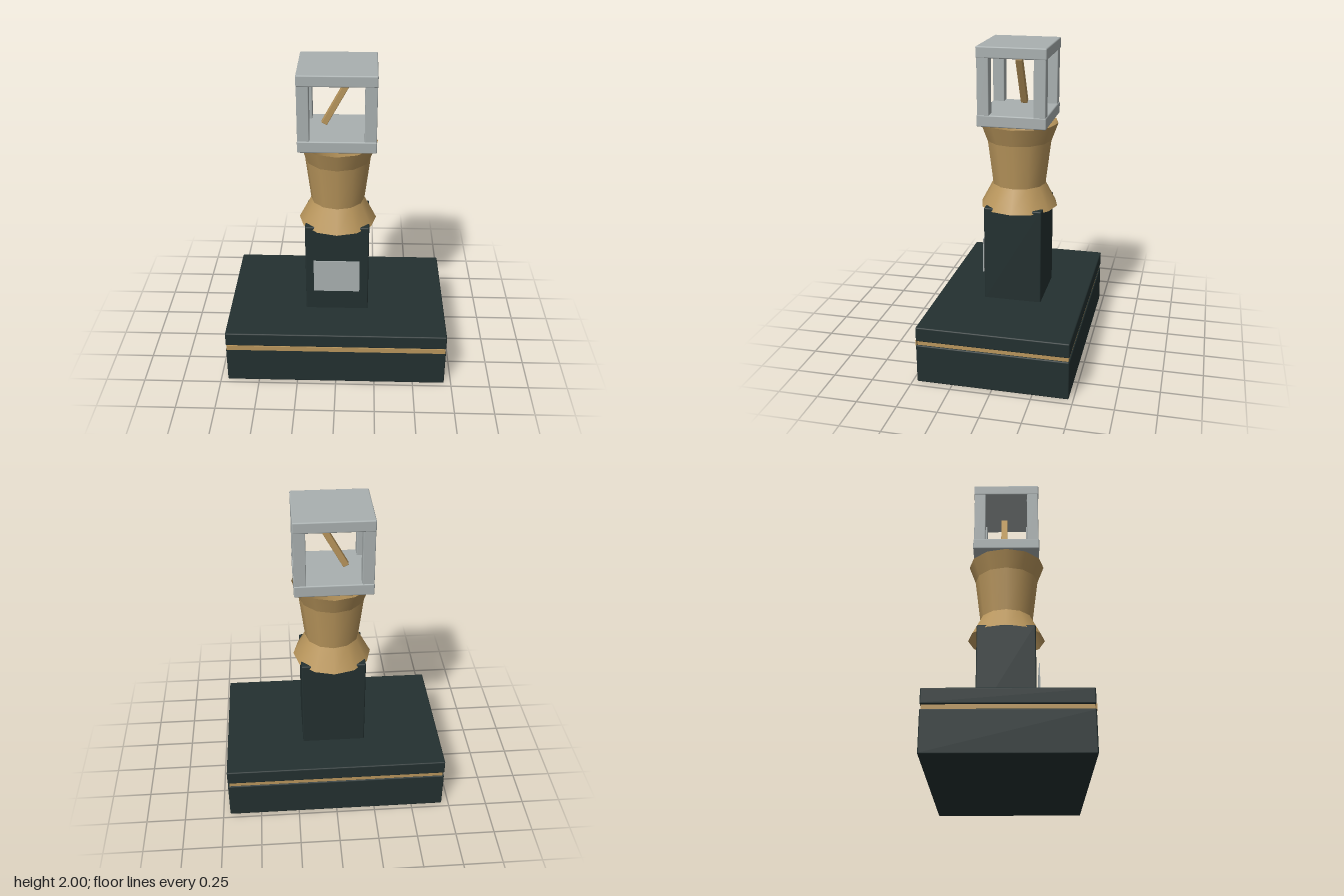
import * as THREE from 'three';
import { RoundedBoxGeometry } from 'three/addons/geometries/RoundedBoxGeometry.js';

export function createModel() {
  const model = new THREE.Group();
  model.name = 'trophy';

  const material = (name, color, side = THREE.FrontSide) => {
    const m = new THREE.MeshStandardMaterial({ color, side });
    m.name = name;
    return m;
  };
  const dark = material('dark green', 0x233030);
  const gold = material('antique gold', 0xb9965c, THREE.DoubleSide);
  const silver = material('silver grey', 0xa9b0b0);

  const add = (name, geometry, mat, x, y, z, parent = model) => {
    const mesh = new THREE.Mesh(geometry, mat);
    mesh.name = name;
    mesh.position.set(x, y, z);
    parent.add(mesh);
    return mesh;
  };
  // Box given by its bottom and top heights, with softened edges
  const block = (name, mat, w, d, y0, y1, x = 0, z = 0, r = 0.008, parent = model) =>
    add(name, new RoundedBoxGeometry(w, y1 - y0, d, 2, r), mat, x, (y0 + y1) / 2, z, parent);

  const cz = -0.015; // the column and all above it sit slightly back

  // Stepped base with a gold band between the slabs
  block('lowerBase', dark, 1.41, 0.945, 0, 0.25);
  add('baseBand', new THREE.BoxGeometry(1.39, 0.04, 0.93), gold, 0, 0.263, 0);
  block('upperBase', dark, 1.41, 0.945, 0.277, 0.37);
  add('frontTrim', new THREE.BoxGeometry(1.4, 0.033, 0.006), gold, 0, 0.262, 0.473);

  // Column and its name plate
  block('column', dark, 0.406, 0.368, 0.36, 0.985, 0, cz);
  add('plaque', new THREE.BoxGeometry(0.295, 0.228, 0.006), silver, -0.002, 0.635, 0.19);

  // Turned neck: skirt, body and flared rim
  const neck = [
    ['neckSkirt', 0.17, 0.247, 0.965, 1.11],
    ['neckBody', 0.205, 0.17, 1.11, 1.392],
    ['neckRim', 0.247, 0.205, 1.392, 1.505],
  ];
  for (const [name, rTop, rBottom, y0, y1] of neck) {
    add(name, new THREE.CylinderGeometry(rTop, rBottom, y1 - y0, 12, 1, true),
      gold, 0, (y0 + y1) / 2, cz);
  }

  // Open cage: two plates and four corner posts
  const cage = new THREE.Group();
  cage.name = 'cage';
  model.add(cage);
  block('cageFloor', silver, 0.475, 0.428, 1.515, 1.589, 0, cz, 0.008, cage);
  block('cageRoof', silver, 0.475, 0.428, 1.93, 2.0, 0, cz, 0.008, cage);
  for (const sx of [-1, 1]) {
    for (const sz of [-1, 1]) {
      block('cagePost', silver, 0.072, 0.073, 1.58, 1.94, sx * 0.2, cz + sz * 0.173, 0.005, cage);
    }
  }

  // Tilted bar floating inside the cage
  const bar = add('tiltedBar', new RoundedBoxGeometry(0.038, 0.34, 0.042, 2, 0.004),
    gold, -0.003, 1.763, -0.03, cage);
  bar.rotation.z = -0.5;

  return model;
}
